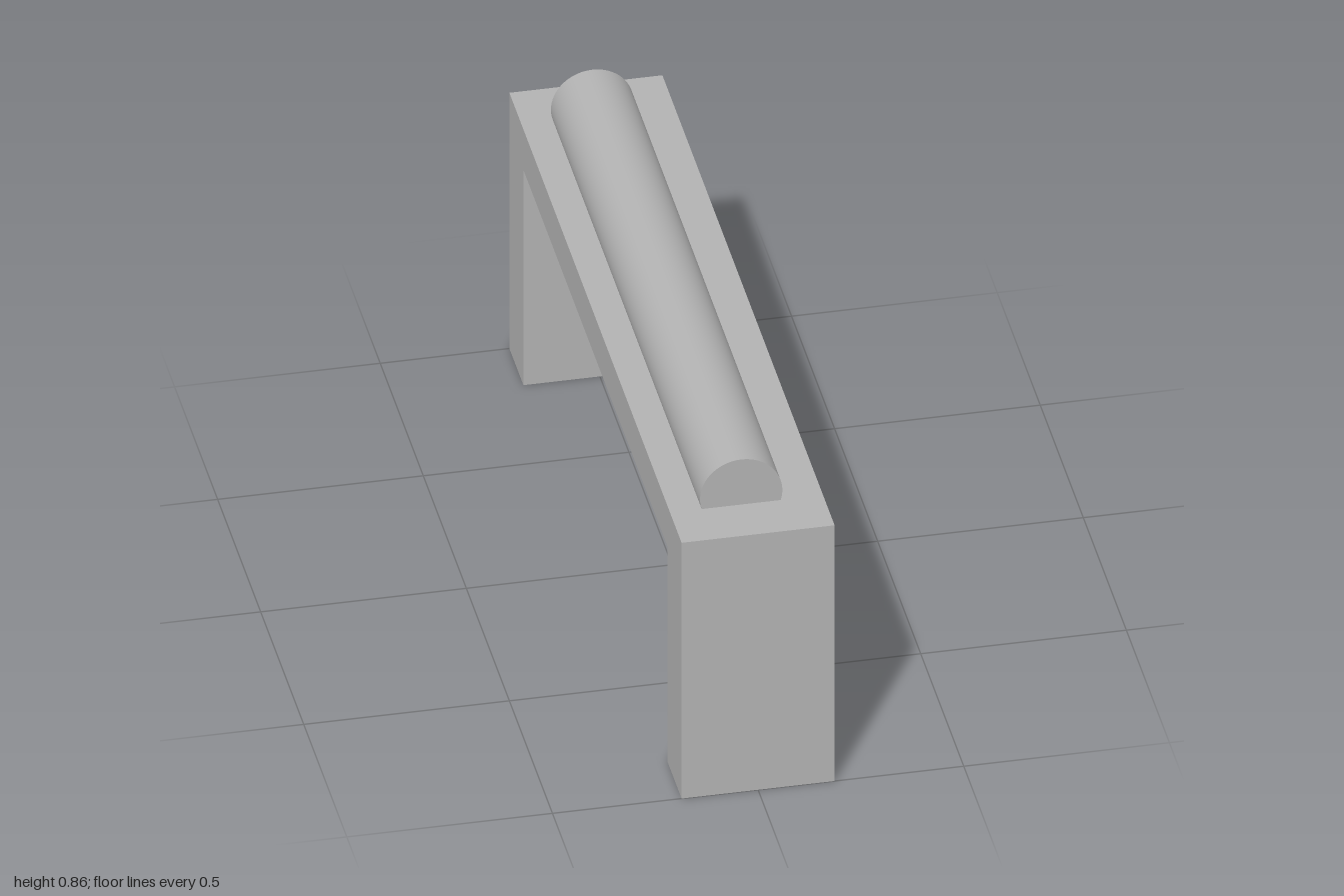
import * as THREE from 'three';

export function createModel() {
  const group = new THREE.Group();
  const grey = new THREE.MeshStandardMaterial({ color: 0xb2b2b2 });
  grey.name = 'plain grey';

  const add = (name, geometry, x = 0, y = 0, z = 0, parent = group) => {
    const mesh = new THREE.Mesh(geometry, grey);
    mesh.name = name;
    mesh.position.set(x, y, z);
    parent.add(mesh);
    return mesh;
  };

  const halfWidth = 0.186, height = 0.727, wall = 0.121;
  const depth = 2 * halfWidth - wall; // depth of the recess
  const inner = 0.837, lintel = 0.612; // half-length and top of the recess

  // Solid long wall on the +x side
  add('longWall', new THREE.BoxGeometry(wall, height, 2), halfWidth - wall / 2, height / 2, 0);

  // Legs and lintel around the recess, open towards -x and the floor
  const frame = new THREE.Shape([
    [-1, 0], [-inner, 0], [-inner, lintel], [inner, lintel],
    [inner, 0], [1, 0], [1, height], [-1, height],
  ].map(([x, y]) => new THREE.Vector2(x, y)));
  const frameGeometry = new THREE.ExtrudeGeometry(frame, { depth, bevelEnabled: false });
  frameGeometry.rotateY(-Math.PI / 2);
  add('legsAndLintel', frameGeometry, halfWidth - wall, 0, 0);

  // Round bar, cut flat where it meets the top
  const radius = 0.1, halfLength = 0.866, centreY = 0.755;
  const dip = Math.asin((centreY - height) / radius);
  const arc = Math.PI + 2 * dip;
  const bar = new THREE.Group();
  bar.name = 'roundBar';
  bar.position.set(-0.013, centreY, 0);
  group.add(bar);

  const side = new THREE.CylinderGeometry(radius, radius, 2 * halfLength, 64, 1, true, Math.PI - arc / 2, arc);
  side.rotateX(Math.PI / 2);
  add('barSurface', side, 0, 0, 0, bar);

  const profile = new THREE.Shape().absarc(0, 0, radius, -dip, Math.PI + dip, false);
  for (const s of [1, -1]) {
    const end = add('barEnd', new THREE.ShapeGeometry(profile, 64), 0, 0, s * halfLength, bar);
    if (s < 0) end.rotation.y = Math.PI;
  }

  return group;
}
